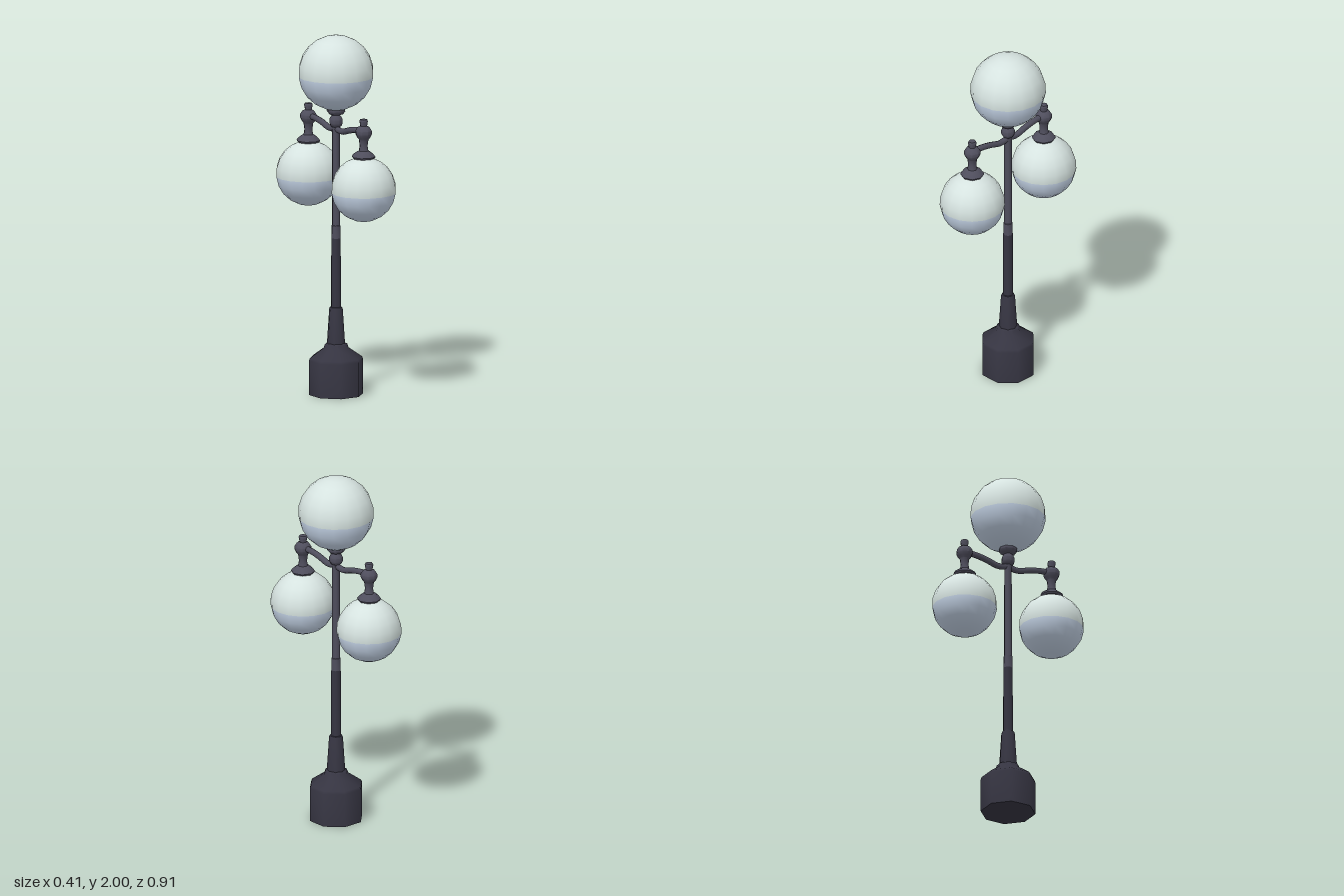
import * as THREE from 'three';
import { toCreasedNormals } from 'three/addons/utils/BufferGeometryUtils.js';

const paint = (name, color) => {
  const m = new THREE.MeshStandardMaterial({ color });
  m.name = name;
  return m;
};

export function createModel() {
  const darkIron = paint('dark iron', 0x363542);
  const iron = paint('iron', 0x4f4e5d);
  const glass = paint('pale glass', 0xd6e3e0);
  const glassLower = paint('blue lower glass', 0xc2d1e4);

  const model = new THREE.Group();
  model.name = 'streetLamp';

  const add = (parent, name, geometry, material) => {
    const mesh = new THREE.Mesh(geometry, material);
    mesh.name = name;
    parent.add(mesh);
    return mesh;
  };

  // Eight-sided turned part from [radius, height] pairs, listed bottom to top
  const turned = (profile, turn = 0) => {
    const points = profile.map(([r, y]) => new THREE.Vector2(r, y));
    return toCreasedNormals(new THREE.LatheGeometry(points, 8, turn), 0.85);
  };

  // Globe in two tints, divided just below its middle
  const addGlobe = (parent, name, radius, y) => {
    const globe = new THREE.Group();
    globe.name = name;
    globe.position.y = y;
    const split = 1.67;
    add(globe, 'globeUpper',
      new THREE.SphereGeometry(radius, 16, 6, 0, Math.PI * 2, 0, split), glass);
    add(globe, 'globeLower',
      new THREE.SphereGeometry(radius, 16, 5, 0, Math.PI * 2, split, Math.PI - split), glassLower);
    parent.add(globe);
  };

  // Octagonal base, flats facing the axes
  add(model, 'base', turned([
    [0, 0], [0.151, 0], [0.151, 0.19], [0.145, 0.205],
    [0.07, 0.258], [0.062, 0.28], [0.05, 0.285], [0, 0.285],
  ], Math.PI / 8), darkIron);

  // Tapered foot and lower pole
  add(model, 'lowerPole', turned([
    [0.052, 0.26], [0.038, 0.475], [0.034, 0.485], [0.028, 0.487], [0.026, 0.87],
  ]), darkIron);

  // Upper pole, collar knob and cup under the top globe
  add(model, 'upperPole', turned([
    [0.026, 0.87], [0.025, 0.94], [0.022, 0.942], [0.021, 1.49],
    [0.03, 1.495], [0.037, 1.51], [0.037, 1.532], [0.028, 1.55],
    [0.022, 1.556], [0.04, 1.562], [0.052, 1.578], [0.05, 1.592], [0, 1.6],
  ]), iron);

  addGlobe(model, 'topGlobe', 0.208, 1.792);

  // Curved arm with a hanging globe on each side
  for (const side of [1, -1]) {
    const prefix = side > 0 ? 'front' : 'back';
    const arm = new THREE.CatmullRomCurve3([
      [0, 1.482], [0.06, 1.473], [0.14, 1.494], [0.21, 1.506], [0.275, 1.506],
    ].map(([z, y]) => new THREE.Vector3(0, y, z * side)));
    add(model, prefix + 'Arm', new THREE.TubeGeometry(arm, 12, 0.017, 8), iron);

    const hanger = new THREE.Group();
    hanger.name = prefix + 'Hanger';
    hanger.position.z = 0.275 * side;
    add(hanger, 'hangerFitting', turned([
      [0, 1.358], [0.06, 1.36], [0.066, 1.37], [0.058, 1.382], [0.036, 1.398],
      [0.027, 1.402], [0.022, 1.43], [0.027, 1.465],
      [0.038, 1.478], [0.046, 1.496], [0.046, 1.514], [0.034, 1.533],
      [0.019, 1.54], [0.024, 1.568], [0.02, 1.577], [0, 1.577],
    ]), iron);
    addGlobe(hanger, 'hangingGlobe', 0.179, 1.187);
    model.add(hanger);
  }

  return model;
}
